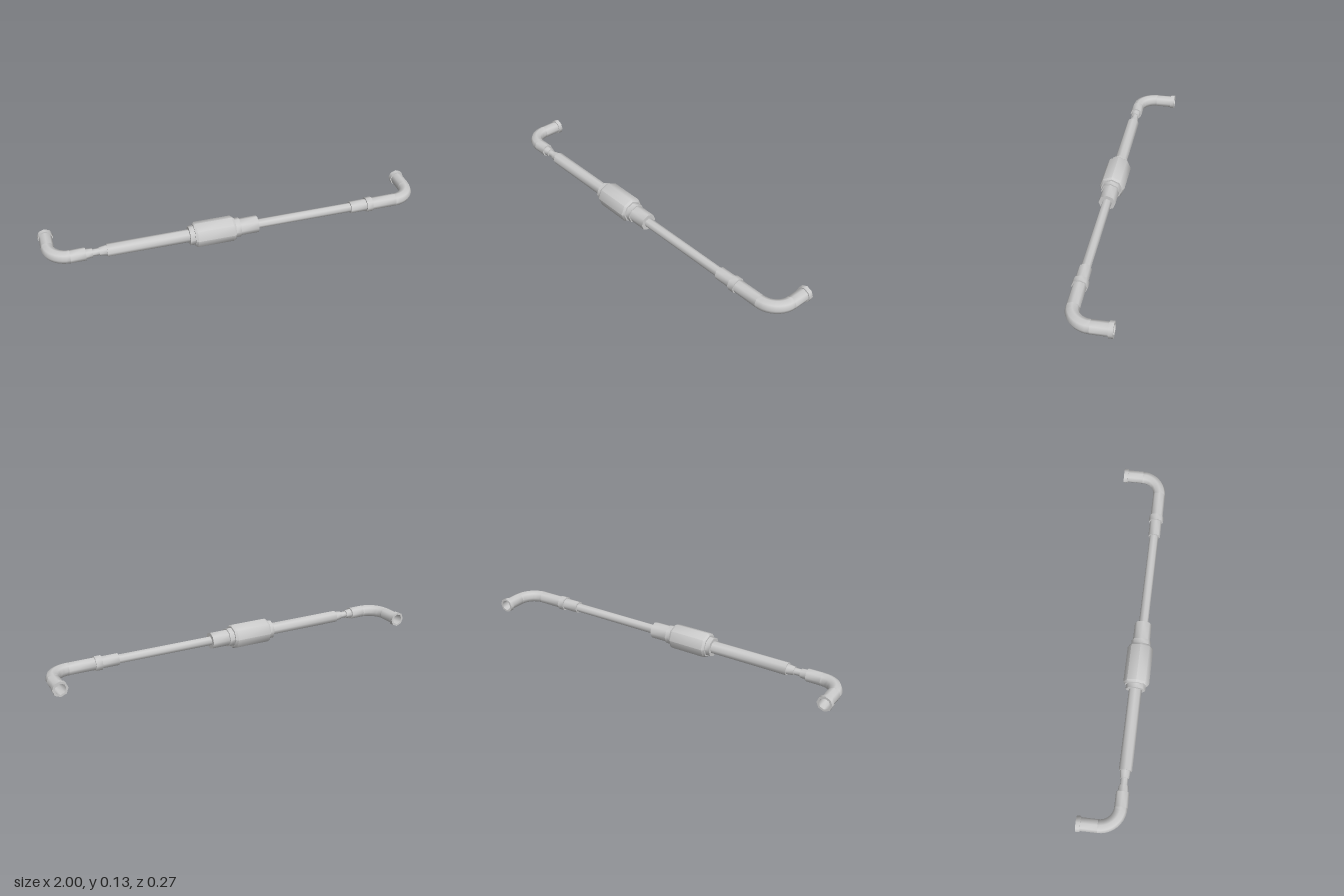
import * as THREE from 'three';
import { toCreasedNormals } from 'three/addons/utils/BufferGeometryUtils.js';

const SIDES = 8;
const AXIS_Y = 0.067, AXIS_Z = 0.07; // centre line of the long pipe
const LEG_X = 0.961;                 // centre line of the two end legs
const PIPE = 0.033, BEND = 0.1;

export function createModel() {
  const model = new THREE.Group();
  model.name = 'pipeAssembly';
  const material = new THREE.MeshStandardMaterial({ color: 0xcccccc });

  const add = (name, geometry, x, z) => {
    const mesh = new THREE.Mesh(toCreasedNormals(geometry, THREE.MathUtils.degToRad(50)), material);
    mesh.name = name;
    mesh.position.set(x, AXIS_Y, z);
    model.add(mesh);
  };

  // Eight-sided turned part from [position along axis, radius] pairs
  const turned = (profile) =>
    new THREE.LatheGeometry(profile.map(([p, r]) => new THREE.Vector2(r, p)), SIDES);
  const alongX = (name, profile) => add(name, turned(profile).rotateZ(-Math.PI / 2), 0, AXIS_Z);

  const elbowX = LEG_X - BEND, elbowZ = AXIS_Z - BEND;

  // Left half of the run: stub, pinched neck and thick pipe
  alongX('neckPipe', [
    [-elbowX, PIPE], [-0.785, PIPE], [-0.785, 0.026], [-0.752, 0.023], [-0.752, 0.018],
    [-0.718, 0.018], [-0.718, 0.022], [-0.68, 0.027], [-0.68, PIPE], [-0.26, PIPE],
  ]);

  // Central body with chamfered drum and end flanges
  alongX('centralBody', [
    [-0.265, 0], [-0.265, 0.05], [-0.24, 0.05], [-0.24, 0.058], [-0.228, 0.066],
    [-0.04, 0.066], [-0.028, 0.058], [-0.028, 0.05], [0, 0.05], [0, 0],
  ]);
  alongX('outletSleeve', [[-0.01, 0.044], [0.095, 0.044], [0.095, 0]]);

  // Thin pipe, socket and clamp ring
  alongX('thinPipe', [[0.09, 0.024], [0.61, 0.024]]);
  alongX('socket', [[0.605, 0], [0.605, 0.032], [0.7, 0.032]]);
  alongX('clampRing', [[0.693, 0], [0.693, 0.039], [0.727, 0.039], [0.727, 0]]);
  alongX('endPipe', [[0.72, PIPE], [elbowX, PIPE]]);

  // Elbows and open, collared legs at both ends
  for (const side of [-1, 1]) {
    const label = side < 0 ? 'right' : 'left';
    const bend = new THREE.TorusGeometry(BEND, PIPE, SIDES, 10, Math.PI / 2).rotateX(Math.PI / 2);
    if (side < 0) bend.rotateY(-Math.PI / 2);
    add(label + 'Elbow', bend, side * elbowX, elbowZ);

    const leg = turned([
      [-elbowZ, PIPE], [0.113, PIPE], [0.113, 0.039], [0.135, 0.039],
      [0.135, 0.028], [0.05, 0.028], [0.05, 0],
    ]).rotateX(-Math.PI / 2);
    add(label + 'Leg', leg, side * LEG_X, 0);
  }
  return model;
}
